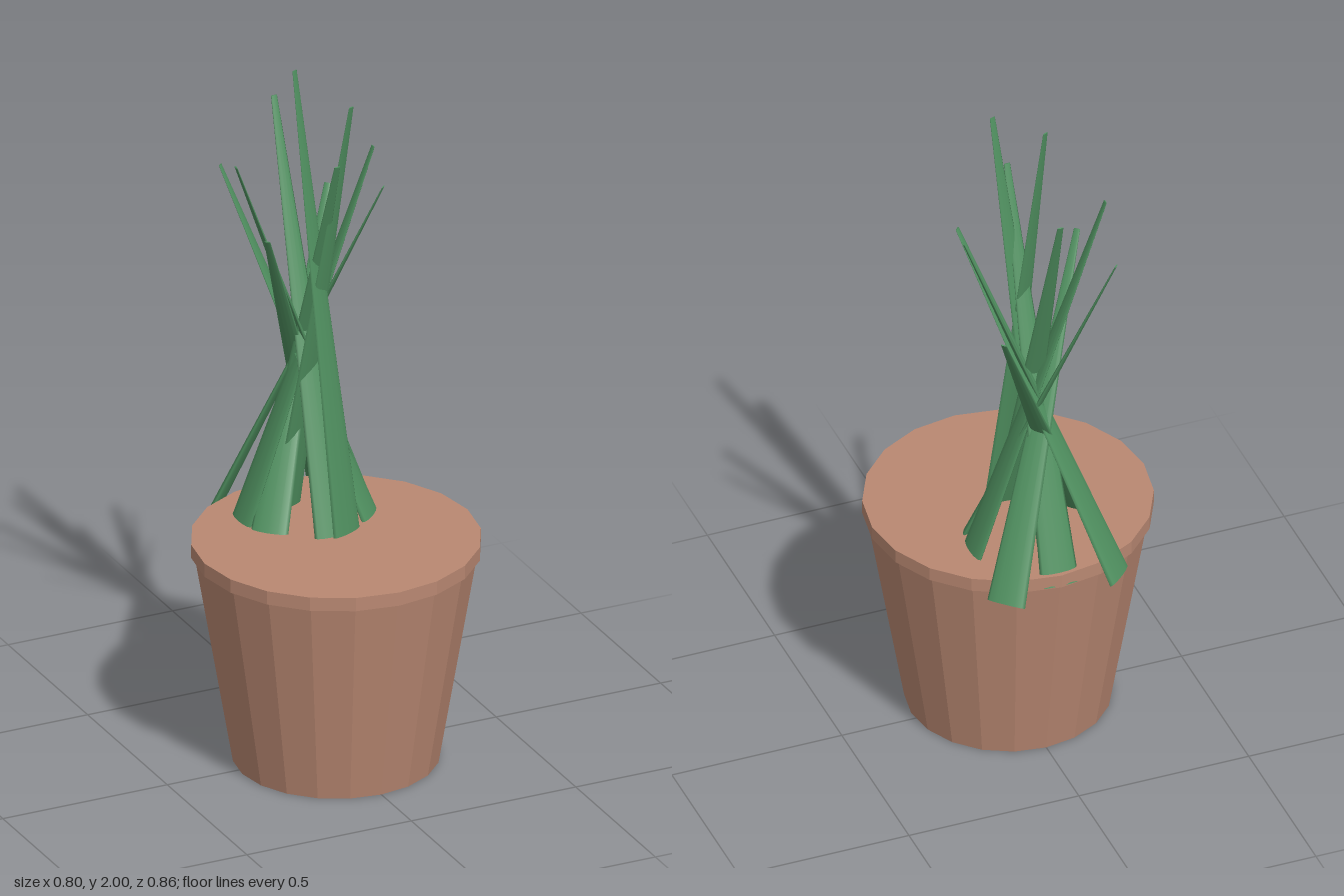
import * as THREE from 'three';

const clay = new THREE.MeshStandardMaterial({ color: 0xb98872, flatShading: true });
const leaf = new THREE.MeshStandardMaterial({ color: 0x4f8f5f });

const POT_Z = 0.027;
const BASE_Y = 0.62;

// Each leaf: base x, base z, then tip x, y, z
const LEAVES = [
  [-0.165, -0.38, 0.175, 1.655, -0.037],
  [0.17, -0.39, -0.178, 1.56, -0.037],
  [0, -0.36, 0, 1.78, 0.035],
  [-0.2, -0.18, 0.213, 1.71, -0.18],
  [0.195, -0.172, -0.208, 1.735, -0.172],
  [-0.165, -0.065, 0.183, 1.51, -0.405],
  [0.155, -0.05, -0.165, 1.655, -0.36],
  [-0.005, 0.03, 0, 1.83, -0.363],
  [-0.04, -0.215, 0.045, 1.95, 0.03],
  [0.04, 0.02, -0.038, 2.0, -0.155],
];

// Flattened tapering blade, its broad side facing the way it leans
function makeLeaf([bx, bz, tx, ty, tz]) {
  const base = new THREE.Vector3(bx, BASE_Y, bz);
  const tip = new THREE.Vector3(tx, ty, tz);
  const axis = tip.clone().sub(base);
  const length = axis.length();
  axis.normalize();
  const across = new THREE.Vector3(0, 1, 0).cross(axis).normalize();
  const facing = across.clone().cross(axis);

  const geometry = new THREE.CylinderGeometry(0.009, 0.056, length, 12);
  geometry.scale(1, 1, 0.22);
  geometry.applyMatrix4(new THREE.Matrix4().makeBasis(across, axis, facing));
  const mesh = new THREE.Mesh(geometry, leaf);
  mesh.position.copy(base).add(tip).multiplyScalar(0.5);
  return mesh;
}

function potSection(name, top, bottom, y0, y1) {
  const mesh = new THREE.Mesh(new THREE.CylinderGeometry(top, bottom, y1 - y0, 20), clay);
  mesh.name = name;
  mesh.position.set(0, (y0 + y1) / 2, POT_Z);
  return mesh;
}

export function createModel() {
  const model = new THREE.Group();
  model.name = 'pottedPlant';

  // Tapered pot and its closed rim
  model.add(potSection('pot', 0.39, 0.285, 0, 0.62));
  model.add(potSection('rim', 0.4, 0.4, 0.62, 0.66));

  // Crossing bundle of leaves
  const leaves = new THREE.Group();
  leaves.name = 'leaves';
  LEAVES.forEach((spec, i) => {
    const mesh = makeLeaf(spec);
    mesh.name = `leaf${i + 1}`;
    leaves.add(mesh);
  });
  model.add(leaves);
  return model;
}
